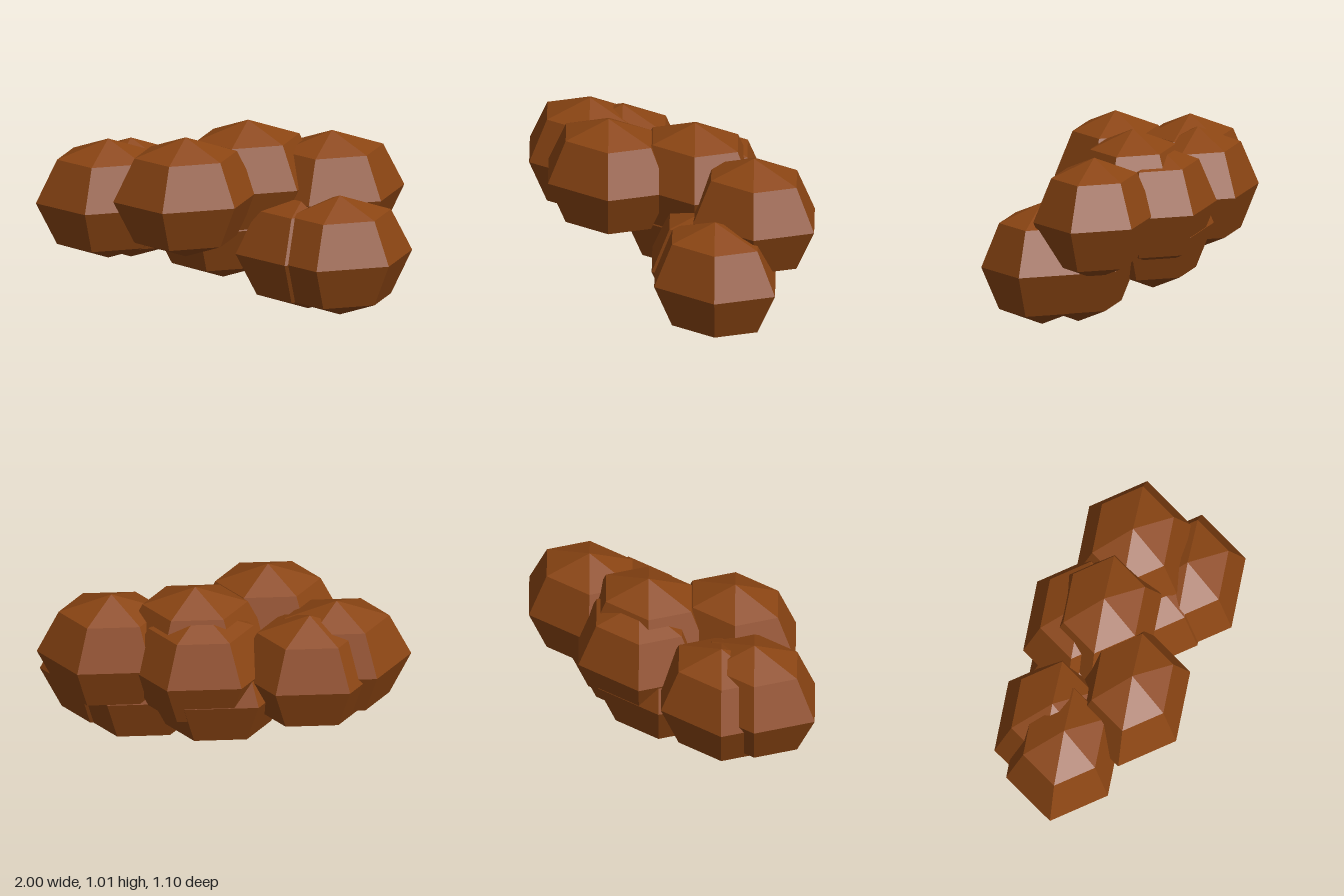
import * as THREE from 'three';

export function createModel() {
  const group = new THREE.Group();
  group.name = 'clumpPile';

  const brown = new THREE.MeshStandardMaterial({ color: 0x8b4513 });
  brown.name = 'brown';
  brown.flatShading = true;

  // One faceted lump, six sides and four bands, shared by the whole pile
  const lump = new THREE.SphereGeometry(1, 6, 4).scale(0.4, 0.333, 0.32);

  // Centre of each lump
  const lumps = {
    rightEndLump: [-0.6, 0.61, -0.18],
    rightBackLump: [-0.45, 0.577, -0.273],
    rightFrontLump: [-0.25, 0.68, 0.125],
    middleTopLump: [0.155, 0.68, -0.107],
    middleBackLump: [0.13, 0.6, -0.228],
    middleLowerLump: [0.035, 0.455, -0.18],
    leftEndLump: [0.6, 0.61, -0.035],
    leftLowerLump: [0.43, 0.334, 0.11],
    leftFrontLump: [0.565, 0.336, 0.27],
  };

  for (const [name, position] of Object.entries(lumps)) {
    const mesh = new THREE.Mesh(lump, brown);
    mesh.name = name;
    mesh.position.set(...position);
    group.add(mesh);
  }
  return group;
}
